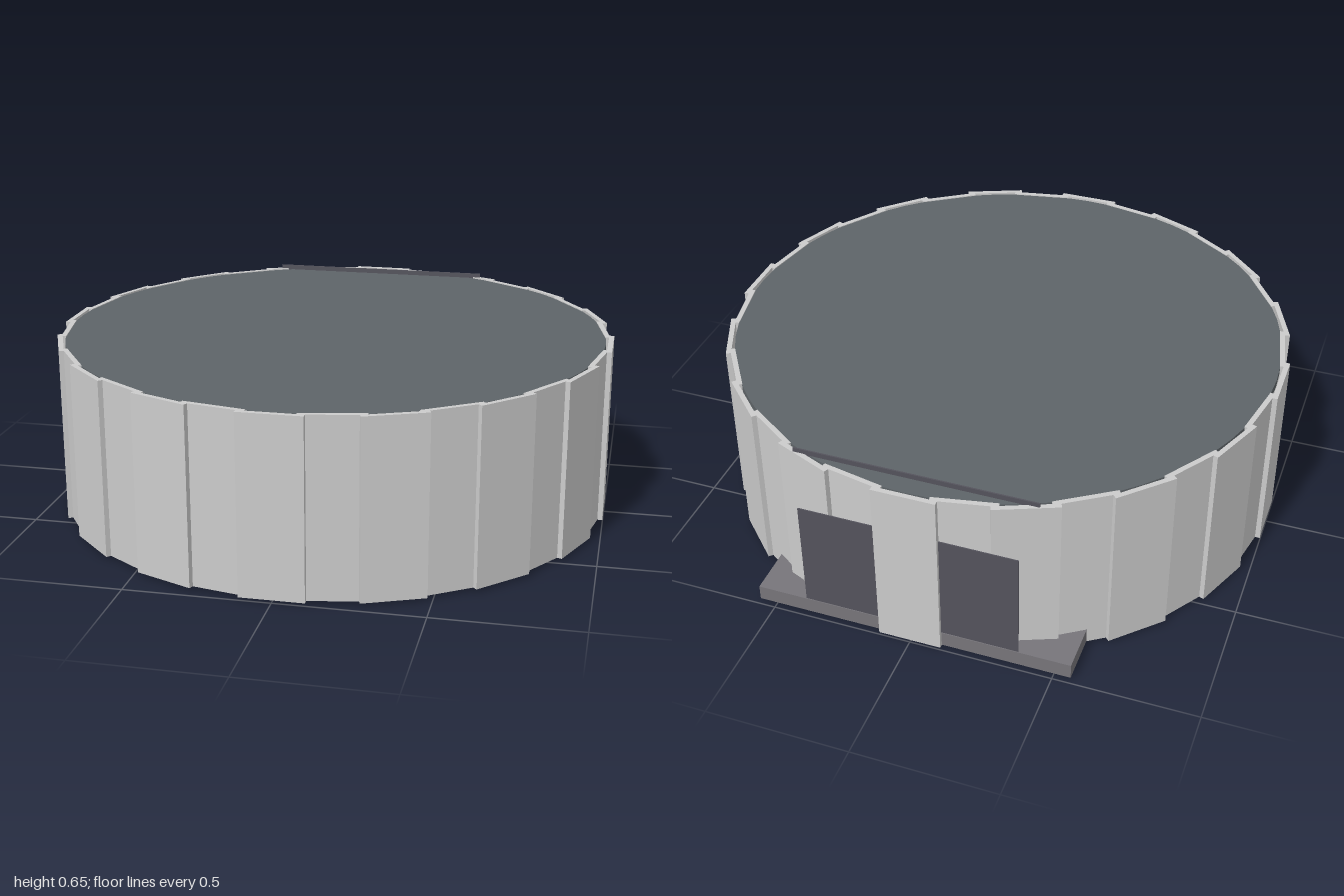
import * as THREE from 'three';

const mat = (color, extra = {}) => new THREE.MeshStandardMaterial({ color, flatShading: true, ...extra });

export function createModel() {
  const group = new THREE.Group();
  const panelMat = mat(0xcccccc);
  const roofMat = mat(0x5e6468);
  const floorMat = mat(0x57585a);
  const stepMat = mat(0x77757a);
  const doorMat = mat(0x54535c);
  const patchMat = mat(0x434343, { side: THREE.DoubleSide });

  const add = (name, geometry, material, x = 0, y = 0, z = 0) => {
    const mesh = new THREE.Mesh(geometry, material);
    mesh.name = name;
    mesh.position.set(x, y, z);
    group.add(mesh);
    return mesh;
  };

  const bottom = 0.01, top = 0.635, midY = (top + bottom) / 2;

  // Ring of upright wall boards, alternately raised and recessed
  const count = 32, thick = 0.018;
  const board = new THREE.BoxGeometry(0.22, top - bottom, thick);
  for (let i = 0; i < count; i++) {
    const a = (i / count) * Math.PI * 2;
    const raised = i % 2 === 0;
    const r = (raised ? 1 : 0.985) - thick / 2;
    const wall = add(raised ? 'raisedWallBoard' : 'recessedWallBoard', board, panelMat,
      Math.sin(a) * r, midY, Math.cos(a) * r);
    wall.rotation.y = a;
  }

  // Flat roof and floor discs inside the ring
  add('roof', new THREE.CylinderGeometry(0.975, 0.975, 0.03, 64), roofMat, 0, top - 0.018, 0);
  add('floor', new THREE.CylinderGeometry(0.975, 0.975, 0.03, 64), floorMat, 0, 0.02, 0);

  // Dark irregular patch under the floor, towards the back
  const outline = [
    [0.49, -0.6], [0.34, -0.45], [0.21, -0.4], [0.29, -0.33], [0.12, -0.25], [0.09, -0.16],
    [-0.05, -0.12], [-0.16, -0.23], [-0.34, -0.33], [-0.44, -0.54], [-0.52, -0.81],
    [-0.3, -0.92], [0, -0.96], [0.3, -0.92], [0.52, -0.81], [0.6, -0.72],
  ].map(([x, z]) => new THREE.Vector2(x, z));
  const patch = add('floorPatch', new THREE.ShapeGeometry(new THREE.Shape(outline)), patchMat);
  patch.rotation.x = Math.PI / 2;

  // Entrance at the back: low step, dark door sheet and thin plate rising past the roof
  add('step', new THREE.BoxGeometry(1.12, 0.055, 0.175), stepMat, 0, 0.0375, -0.8975);
  add('door', new THREE.BoxGeometry(0.76, 0.4, 0.004), doorMat, 0, 0.27, -0.985);
  add('lintelPlate', new THREE.BoxGeometry(0.84, 0.2, 0.005), doorMat, 0, 0.55, -0.903);

  return group;
}
